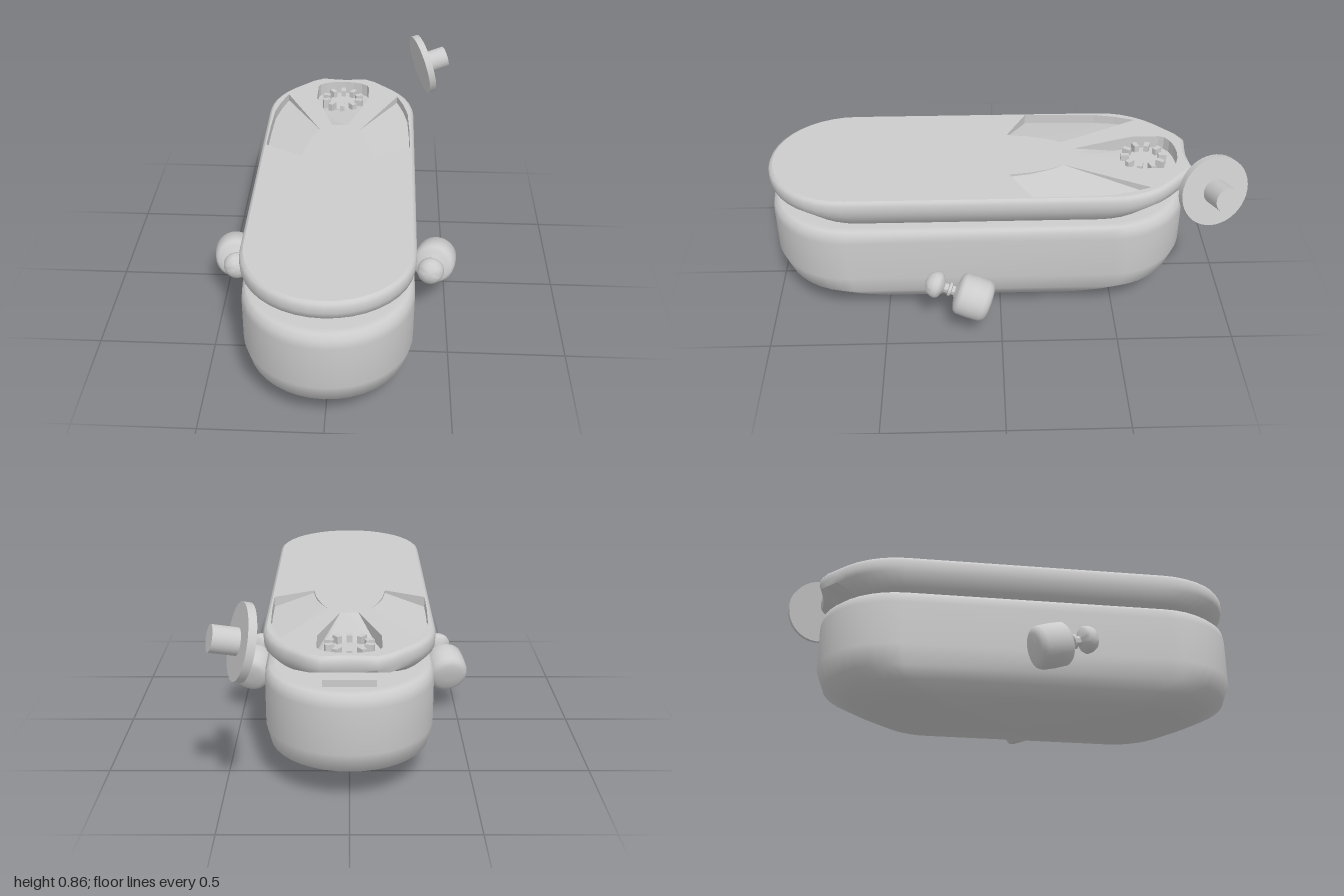
import * as THREE from 'three';
import { toCreasedNormals } from 'three/addons/utils/BufferGeometryUtils.js';

const grey = new THREE.MeshStandardMaterial({ color: 0xcccccc });
const greyDouble = new THREE.MeshStandardMaterial({ color: 0xcccccc, side: THREE.DoubleSide });
const R = 0.342, MID = 0.09, HALF = 0.91, TOP = 0.645;

function part(name, geometry, parent, material = grey) {
  const mesh = new THREE.Mesh(geometry, material);
  mesh.name = name;
  parent.add(mesh);
  return mesh;
}

// Stadium outline [x, z] about the hull middle; lip squares off the rear end
function outline(lip) {
  const pts = [], n = 20, straight = HALF - R;
  for (let half = 0; half < 2; half++) {
    for (let i = 0; i <= n; i++) {
      const a = -Math.PI / 2 + Math.PI * (half + i / n);
      const x = R * Math.sin(a);
      let z = R * Math.cos(a) + (half ? -straight : straight);
      if (half && z < -0.7) z -= lip * Math.exp(-(((Math.abs(x) - 0.12) / 0.06) ** 2));
      pts.push([x, z]);
    }
  }
  return pts;
}

// Stack of scaled outlines: rings are [y, scaleX, scaleZ]
function loft(pts, rings, bend = (x, y) => y) {
  const pos = [], idx = [], n = pts.length;
  for (const [y, sx, sz] of rings) {
    for (const [px, pz] of pts) {
      const x = px * sx, z = pz * sz + MID;
      pos.push(x, bend(x, y, z), z);
    }
  }
  for (let j = 0; j < rings.length - 1; j++) {
    for (let i = 0; i < n; i++) {
      const a = j * n + i, b = j * n + (i + 1) % n;
      idx.push(a, b, b + n, a, b + n, a + n);
    }
  }
  const g = new THREE.BufferGeometry();
  g.setAttribute('position', new THREE.Float32BufferAttribute(pos, 3));
  g.setIndex(idx);
  g.computeVertexNormals();
  return g;
}

const flatShape = (pts) => pts.map(([x, z]) => new THREE.Vector2(x, -z));

// Sunken panel: a floor lowered by depth(x, z) with walls up to the deck
function recess(name, pts, depth, parent) {
  const floor = new THREE.ShapeGeometry(new THREE.Shape(flatShape(pts))).rotateX(-Math.PI / 2);
  const p = floor.attributes.position;
  for (let i = 0; i < p.count; i++) p.setY(i, TOP - depth(p.getX(i), p.getZ(i)));
  floor.computeVertexNormals();
  part(name + 'Floor', floor, parent, greyDouble);

  const pos = [];
  pts.forEach(([x, z], i) => {
    const [u, w] = pts[(i + 1) % pts.length];
    const a = [x, TOP, z], b = [u, TOP, w];
    const c = [u, TOP - depth(u, w), w], d = [x, TOP - depth(x, z), z];
    pos.push(...a, ...b, ...c, ...a, ...c, ...d);
  });
  const walls = new THREE.BufferGeometry();
  walls.setAttribute('position', new THREE.Float32BufferAttribute(pos, 3));
  walls.computeVertexNormals();
  part(name + 'Walls', walls, parent, greyDouble);
}

// Lower body with a shallow pointed keel
function addHull(root) {
  part('hull', loft(outline(0), [
    [0.005, 0, 0], [0.06, 0.716, 0.725], [0.11, 0.85, 0.86], [0.155, 0.95, 0.965],
    [0.24, 1, 1], [0.43, 1, 1], [0.465, 0.99, 0.993], [0.482, 0.95, 0.97],
    [0.486, 0.88, 0.94], [0.486, 0, 0],
  ]), root);
}

// Upper body: curved shell, deck with cutouts, sunken panels
function addLid(root) {
  const lid = new THREE.Group();
  lid.name = 'lid';
  root.add(lid);
  const pts = outline(0.03);
  const rise = (x, y, z) => z < -0.55 ? Math.max(y, Math.min(0.6, 0.5 + (-z - 0.6) * 0.38)) : y;
  const shell = loft(pts, [
    [0.494, 0, 0], [0.494, 0.77, 0.715], [0.518, 0.91, 0.89], [0.575, 0.99, 0.993],
    [0.6, 1, 1], [0.625, 1, 1], [0.638, 0.985, 0.993], [TOP, 0.96, 0.98],
  ], rise);
  part('lidShell', toCreasedNormals(shell, 0.8), lid);

  const sidePanel = [[0.265, -0.63], [0.09, -0.28], [0.12, -0.21], [0.142, -0.13],
    [0.155, -0.04], [0.322, -0.13], [0.32, -0.3], [0.314, -0.45], [0.295, -0.54]];
  const mirrored = sidePanel.map(([x, z]) => [-x, z]);
  const pit = [[0.037, -0.33], [0.1, -0.52], [0.125, -0.6], [0.125, -0.72]];
  for (let i = 1; i < 8; i++) {
    const a = Math.PI * i / 8;
    pit.push([0.125 * Math.cos(a), -0.72 - 0.06 * Math.sin(a)]);
  }
  pit.push([-0.125, -0.72], [-0.125, -0.6], [-0.1, -0.52], [-0.037, -0.33]);

  const deck = new THREE.Shape(flatShape(pts.map(([x, z]) => [x * 0.96, z * 0.98 + MID])));
  for (const hole of [sidePanel, mirrored, pit]) deck.holes.push(new THREE.Path(flatShape(hole)));
  part('deck', new THREE.ShapeGeometry(deck).rotateX(-Math.PI / 2).translate(0, TOP, 0), lid, greyDouble);

  const outward = (x) => Math.max(0, Math.abs(x) - 0.1) * 0.2;
  recess('leftPanel', sidePanel, outward, lid);
  recess('rightPanel', mirrored, outward, lid);
  recess('gearPit', pit, (x, z) => Math.min(0.06, (-z - 0.33) * 0.3), lid);
}

// Toothed crown in the rear pit
function addGear(root) {
  const gear = new THREE.Group();
  gear.name = 'gear';
  gear.position.set(0, 0.59, -0.635);
  root.add(gear);
  part('gearPlate', new THREE.CylinderGeometry(0.075, 0.075, 0.03, 30), gear);
  for (let i = 0; i < 10; i++) {
    const a = i * Math.PI / 5;
    const tooth = part('gearTooth', new THREE.BoxGeometry(0.022, 0.05, 0.035), gear);
    tooth.position.set(0.082 * Math.sin(a), 0.02, 0.082 * Math.cos(a));
    tooth.rotation.y = a;
  }
}

// Plates joining the lid to the hull
function addNeck(root) {
  const plate = (name, w, h, l, y, z) =>
    part(name, new THREE.BoxGeometry(w, h, l), root).position.set(0, y, z);
  plate('neck', 0.21, 0.03, 0.9, 0.49, 0.1);
  plate('rearNeck', 0.21, 0.035, 0.22, 0.498, -0.62);
}

// Side pod: domed nose, ribbed stalk and drum, turned as one profile
function addPods(root) {
  const profile = [[0, 0], [0.025, 0.005], [0.045, 0.018], [0.056, 0.038], [0.058, 0.055],
    [0.05, 0.068], [0.03, 0.078], [0.02, 0.084], [0.02, 0.1], [0.03, 0.104], [0.03, 0.114],
    [0.02, 0.118], [0.02, 0.13], [0.034, 0.136], [0.06, 0.14], [0.08, 0.147], [0.09, 0.16],
    [0.092, 0.21], [0.09, 0.262], [0.082, 0.28], [0.062, 0.29], [0.02, 0.293], [0, 0.293]];
  const points = profile.map(([r, s]) => new THREE.Vector2(r, s));
  for (const side of [1, -1]) {
    const axis = new THREE.Vector3(0.03 * side, -0.055, -0.17).normalize();
    const pod = part(side > 0 ? 'leftPod' : 'rightPod',
      toCreasedNormals(new THREE.LatheGeometry(points, 32), 0.9), root, greyDouble);
    pod.quaternion.setFromUnitVectors(new THREE.Vector3(0, 1, 0), axis);
    pod.position.set(0.42 * side, 0.27, 0.28).addScaledVector(axis, -0.045);
  }
}

// Detached tilted disc with a short stem
function addDish(root) {
  const dish = new THREE.Group();
  dish.name = 'dish';
  dish.position.set(0.39, 0.717, -0.855);
  dish.quaternion.setFromUnitVectors(new THREE.Vector3(0, 1, 0),
    new THREE.Vector3(1, 0.25, -0.3).normalize());
  root.add(dish);
  part('dishDisc', new THREE.CylinderGeometry(0.147, 0.147, 0.032, 40), dish);
  part('dishStem', new THREE.CylinderGeometry(0.052, 0.052, 0.12, 28), dish).position.y = 0.06;
}

export function createModel() {
  const root = new THREE.Group();
  root.name = 'model';
  addHull(root);
  addLid(root);
  addGear(root);
  addNeck(root);
  addPods(root);
  addDish(root);
  return root;
}
